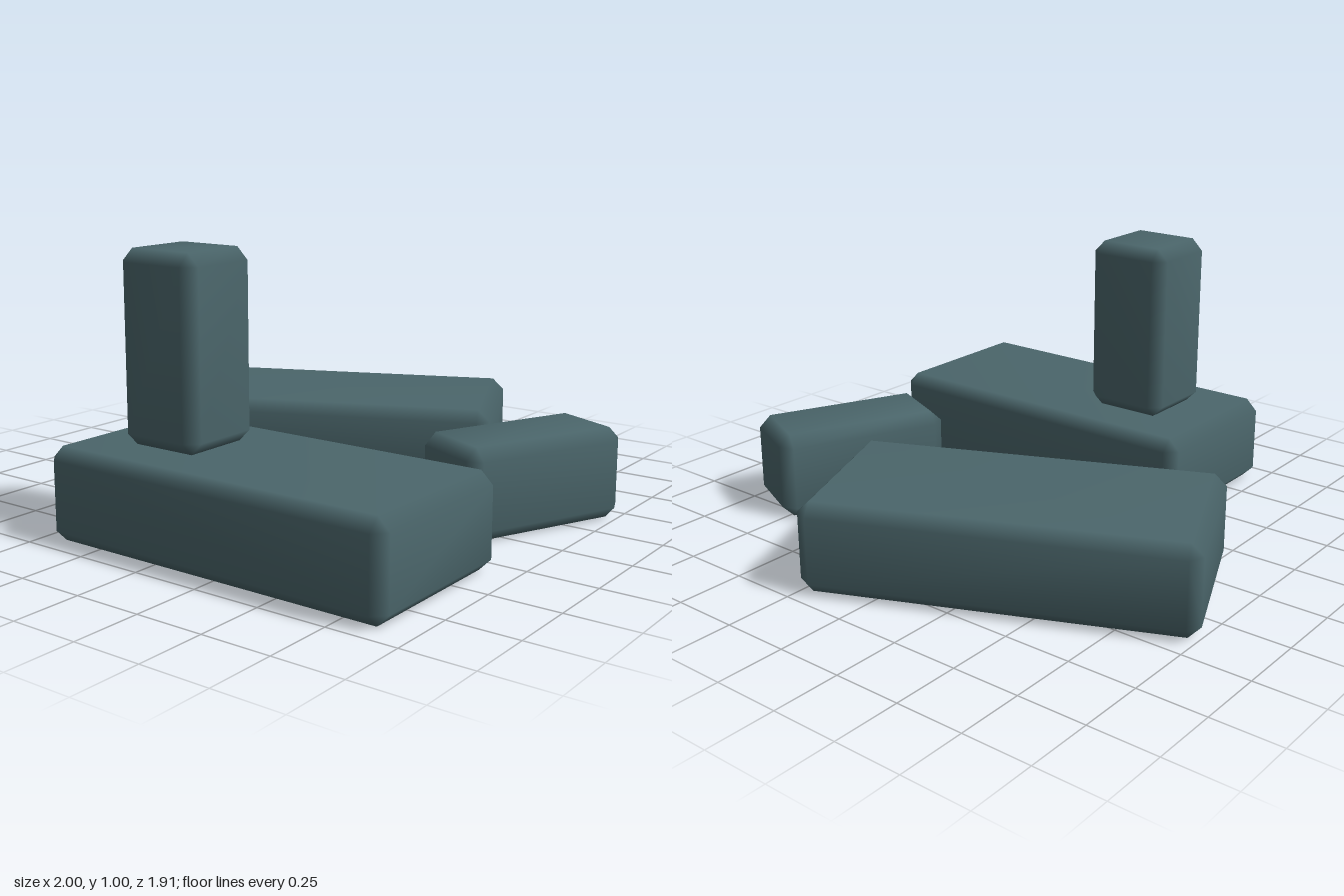
import * as THREE from 'three';
import { mergeVertices } from 'three/addons/utils/BufferGeometryUtils.js';
import { ConvexGeometry } from 'three/addons/geometries/ConvexGeometry.js';

const BEVEL = 0.044;

// Box with one chamfer along every edge and soft, area-weighted normals
function bevelledBox(w, h, d) {
  const half = [w / 2, h / 2, d / 2];
  const points = [];
  for (const sx of [-1, 1]) for (const sy of [-1, 1]) for (const sz of [-1, 1]) {
    const sign = [sx, sy, sz];
    for (let axis = 0; axis < 3; axis++) {
      const p = sign.map((s, i) => s * (half[i] - (i === axis ? 0 : BEVEL)));
      points.push(new THREE.Vector3(...p));
    }
  }
  const hull = new ConvexGeometry(points);
  hull.deleteAttribute('normal');
  const geometry = mergeVertices(hull, 1e-4);
  geometry.computeVertexNormals();
  return geometry;
}

export function createModel() {
  const group = new THREE.Group();
  const slate = new THREE.MeshStandardMaterial({ color: 0x4b666b });
  slate.name = 'slate';

  // name, size, centre, turn about the vertical
  const blocks = [
    ['frontSlab', [1.37, 0.333, 0.67], [0.227, 0.167, 0.618], 0],
    ['standingBlock', [0.333, 0.667, 0.333], [-0.105, 0.667, 0.62], 0],
    ['backSlab', [1.37, 0.333, 0.67], [-0.257, 0.167, -0.39], 0.415],
    ['sideBlock', [0.667, 0.333, 0.333], [0.727, 0.167, -0.215], 1.148],
  ];
  for (const [name, size, centre, turn] of blocks) {
    const mesh = new THREE.Mesh(bevelledBox(...size), slate);
    mesh.name = name;
    mesh.position.set(...centre);
    mesh.rotation.y = turn;
    group.add(mesh);
  }
  return group;
}
